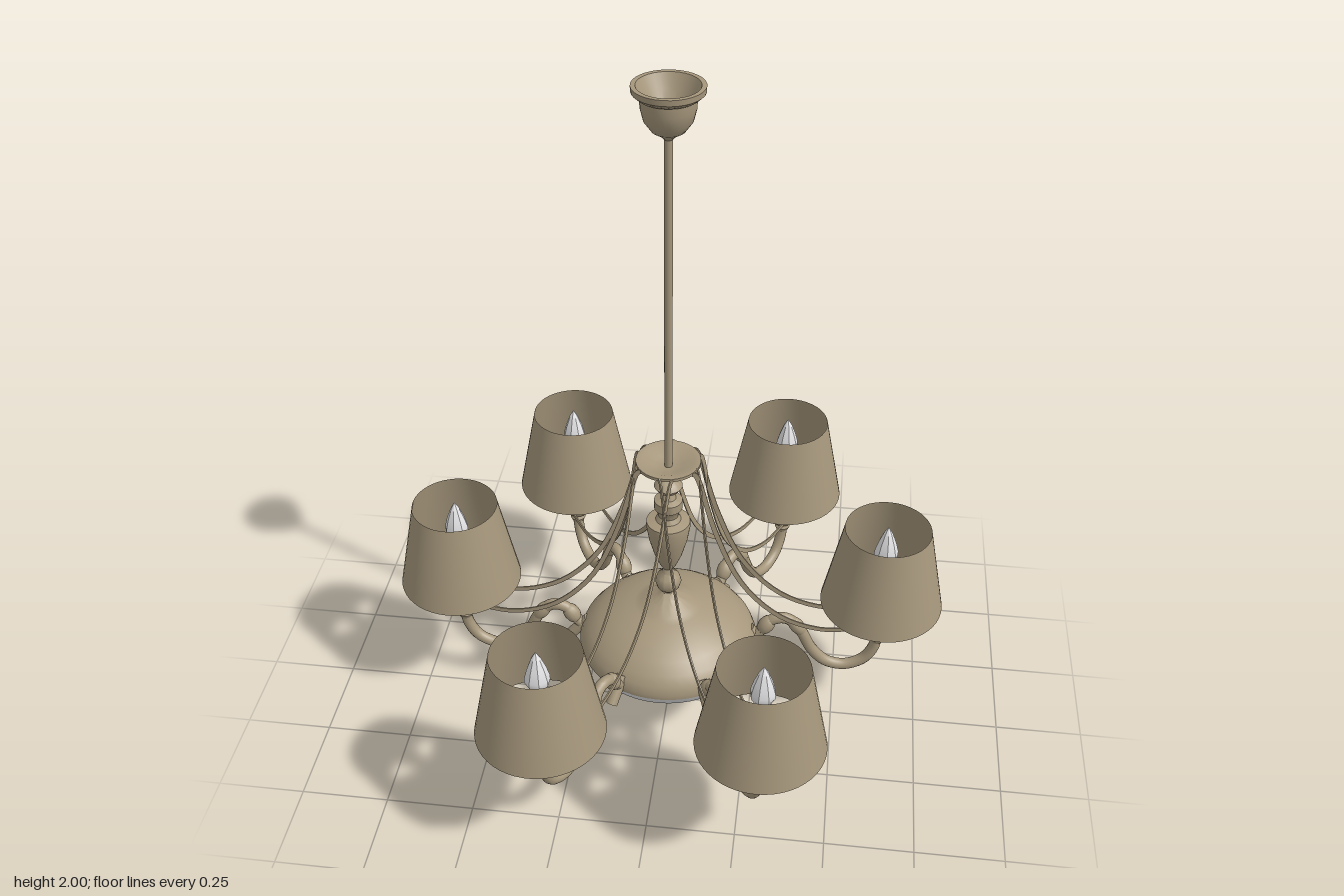
import * as THREE from 'three';
import { toCreasedNormals } from 'three/addons/utils/BufferGeometryUtils.js';

const bronze = new THREE.MeshStandardMaterial({ color: 0xa6977c, side: THREE.DoubleSide });
bronze.name = 'antique bronze';
const white = new THREE.MeshStandardMaterial({ color: 0xe6e6e8 });
white.name = 'white glass';

const v2 = (p) => new THREE.Vector2(p[0], p[1]);

function add(parent, name, geometry, material = bronze) {
  const mesh = new THREE.Mesh(geometry, material);
  mesh.name = name;
  parent.add(mesh);
  return mesh;
}

// Turned part: [radius, height] pairs from bottom to top
function turned(parent, name, profile, sides = 32, material = bronze) {
  const g = new THREE.LatheGeometry(profile.map(v2), sides);
  return add(parent, name, toCreasedNormals(g, 0.7), material);
}

// Stretched bead centred on a point of the arm, following its direction
function bead(parent, name, curve, t, radius, length) {
  const m = add(parent, name, new THREE.SphereGeometry(1, 14, 10));
  m.scale.set(radius, length, radius);
  m.position.copy(curve.getPointAt(t));
  m.quaternion.setFromUnitVectors(new THREE.Vector3(0, 1, 0), curve.getTangentAt(t));
}

// Flat strip that follows a curve in the radial plane
function ribbonGeometry(points, width, depth) {
  const curve = new THREE.SplineCurve(points.map(v2));
  const n = 28, upper = [], lower = [];
  for (let i = 0; i <= n; i++) {
    const p = curve.getPoint(i / n), t = curve.getTangent(i / n);
    const off = new THREE.Vector2(-t.y, t.x).multiplyScalar(width / 2);
    upper.push(p.clone().add(off));
    lower.unshift(p.clone().sub(off));
  }
  const g = new THREE.ExtrudeGeometry(new THREE.Shape([...upper, ...lower]),
    { depth, bevelEnabled: false });
  return g.translate(0, 0, -depth / 2);
}

const LAMP_R = 0.621;

function createBranch() {
  const branch = new THREE.Group();
  branch.name = 'branch';

  // S-shaped arm from the body to the lamp
  const path = new THREE.CatmullRomCurve3([
    [0.23, 0.25], [0.275, 0.285], [0.31, 0.33], [0.35, 0.335], [0.39, 0.295], [0.43, 0.215],
    [0.475, 0.168], [0.53, 0.155], [0.585, 0.18], [0.614, 0.23], [LAMP_R, 0.29],
  ].map(([x, y]) => new THREE.Vector3(x, y, 0)));
  add(branch, 'arm', new THREE.TubeGeometry(path, 48, 0.017, 12));
  bead(branch, 'armBead', path, 0.14, 0.024, 0.035);
  bead(branch, 'armBead', path, 0.33, 0.021, 0.04);

  // Short crosspiece where the arm meets the body
  const cross = add(branch, 'crosspiece', new THREE.CylinderGeometry(0.017, 0.017, 0.09, 14));
  cross.position.set(0.27, 0.257, 0);
  cross.rotation.z = 0.7;

  // Lamp on the arm's end
  const lamp = new THREE.Group();
  lamp.name = 'lamp';
  lamp.position.x = LAMP_R;
  branch.add(lamp);
  turned(lamp, 'socketAndPan', [
    [0, 0.255], [0.019, 0.258], [0.024, 0.27], [0.019, 0.28], [0.029, 0.288], [0.033, 0.298],
    [0.028, 0.311], [0.021, 0.317], [0.034, 0.322], [0.042, 0.335], [0.06, 0.347],
    [0.097, 0.361], [0.096, 0.366], [0.05, 0.357], [0, 0.356],
  ], 28);
  const candle = add(lamp, 'candle', new THREE.CylinderGeometry(0.023, 0.023, 0.21, 16));
  candle.position.y = 0.46;
  turned(lamp, 'bulb', [
    [0, 0.56], [0.02, 0.563], [0.034, 0.59], [0.034, 0.605], [0.026, 0.635], [0.013, 0.67], [0, 0.693],
  ], 8, white);
  const shade = add(lamp, 'shade', new THREE.CylinderGeometry(0.122, 0.176, 0.27, 48, 1, true));
  shade.position.y = 0.55;

  // Pair of swags from the crown to the pan
  const swag = ribbonGeometry([
    [0.065, 0.908], [0.085, 0.885], [0.135, 0.7], [0.21, 0.52], [0.32, 0.395], [0.45, 0.34], [0.575, 0.35],
  ], 0.014, 0.004);
  for (const side of [-1, 1]) {
    const m = add(branch, 'swag', swag);
    m.position.z = side * 0.058;
    m.rotation.y = side * 0.02;
  }
  return branch;
}

export function createModel() {
  const model = new THREE.Group();
  model.name = 'chandelier';
  const fixture = new THREE.Group();
  fixture.name = 'fixture';
  fixture.position.z = -0.01;
  model.add(fixture);

  // Ceiling canopy, hollow from above, and hanging rod
  turned(fixture, 'canopy', [
    [0.012, 1.865], [0.02, 1.874], [0.042, 1.888], [0.06, 1.913], [0.068, 1.945], [0.069, 1.97],
    [0.076, 1.973], [0.089, 1.985], [0.09, 2], [0.078, 2], [0.06, 1.965], [0.035, 1.92], [0, 1.91],
  ]);
  const rod = add(fixture, 'rod', new THREE.CylinderGeometry(0.011, 0.011, 1, 16));
  rod.position.y = 1.39;

  // Crown dish that holds the swags
  turned(fixture, 'crown', [
    [0.015, 0.855], [0.024, 0.862], [0.028, 0.875], [0.05, 0.89], [0.09, 0.905], [0.09, 0.914],
    [0.072, 0.913], [0.04, 0.897], [0, 0.893],
  ]);

  // Turned column: rings, vase and lower ball
  turned(fixture, 'column', [
    [0.02, 0.43], [0.018, 0.44], [0.032, 0.455], [0.038, 0.475], [0.032, 0.495], [0.018, 0.508],
    [0.015, 0.525], [0.024, 0.54], [0.04, 0.58], [0.055, 0.635], [0.063, 0.685], [0.062, 0.7],
    [0.036, 0.706], [0.028, 0.72], [0.033, 0.742], [0.04, 0.748], [0.04, 0.775], [0.022, 0.782],
    [0.015, 0.8], [0.03, 0.81], [0.04, 0.825], [0.03, 0.84], [0.015, 0.85], [0.015, 0.87],
  ]);

  // Body: metal dome above a glass bowl
  turned(fixture, 'dome', [
    [0.262, 0.25], [0.263, 0.265], [0.254, 0.29], [0.235, 0.315], [0.205, 0.341], [0.165, 0.364],
    [0.12, 0.382], [0.1, 0.388], [0.08, 0.395], [0.058, 0.412], [0.035, 0.421], [0.02, 0.437],
  ], 48);
  turned(fixture, 'bowl', [
    [0, 0.116], [0.05, 0.119], [0.11, 0.132], [0.17, 0.157], [0.215, 0.188], [0.246, 0.22], [0.262, 0.25],
  ], 48, white);

  // Finial under the bowl
  turned(fixture, 'finial', [
    [0, 0], [0.012, 0.004], [0.015, 0.012], [0.027, 0.02], [0.034, 0.038], [0.028, 0.056],
    [0.015, 0.066], [0.02, 0.075], [0.013, 0.085], [0.013, 0.1], [0.03, 0.112], [0.034, 0.122], [0, 0.124],
  ], 24);

  // Six branches, slightly uneven around the body
  for (const degrees of [-5, 60, 116, 181, 234.5, 299.6]) {
    const branch = createBranch();
    branch.rotation.y = -THREE.MathUtils.degToRad(degrees);
    fixture.add(branch);
  }
  return model;
}
